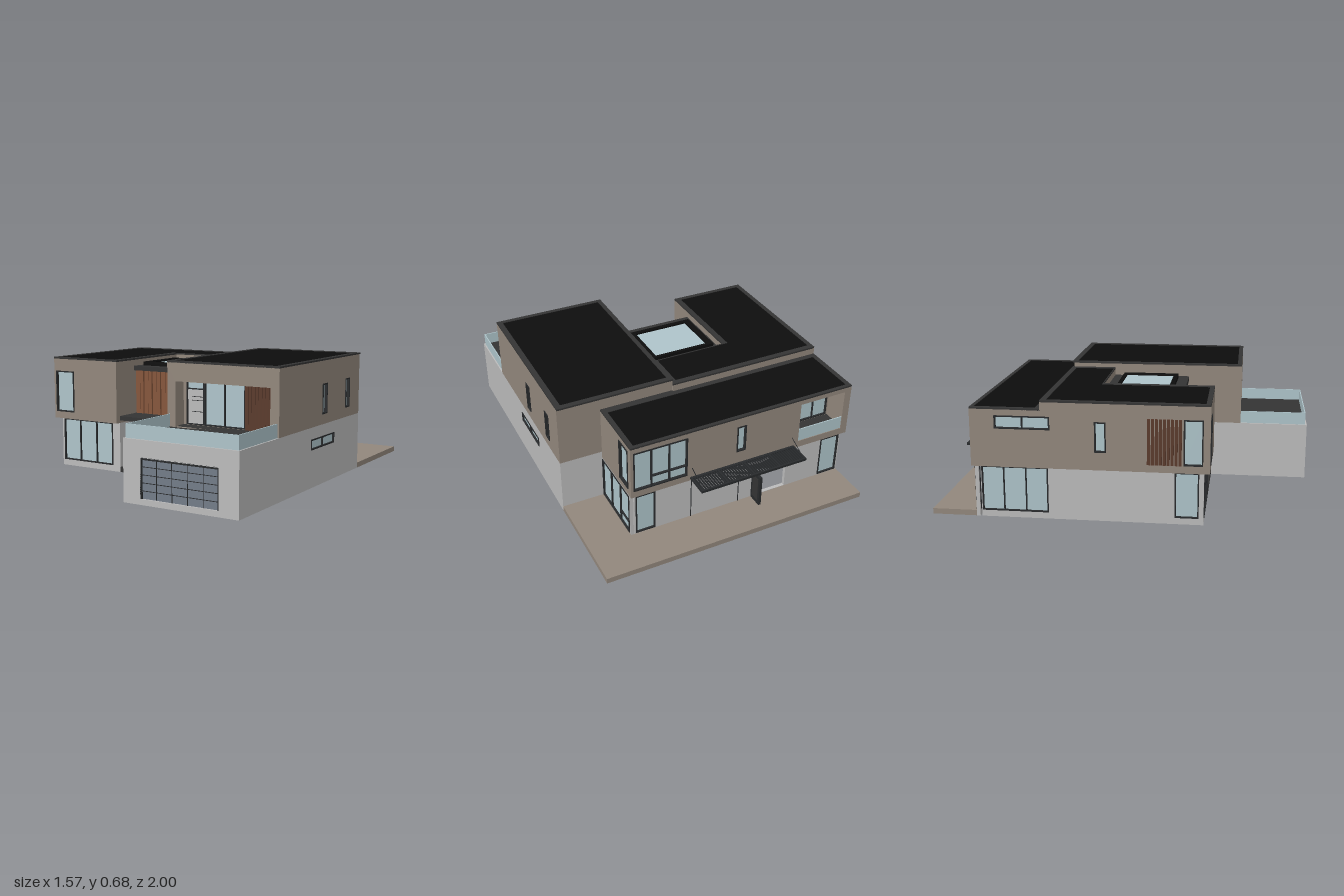
import * as THREE from 'three';

const mat = (name, color, extra) => Object.assign(new THREE.MeshStandardMaterial({ color, ...extra }), { name });

export function createModel() {
  const taupe = mat('taupe render', 0x92877c);
  const grey = mat('light grey wall', 0xbbbbbb);
  const glass = mat('pale glass', 0xaec4ca);
  const frame = mat('window frame', 0x282a2c);
  const trim = mat('dark trim', 0x343434);
  const black = mat('roof felt', 0x0d0d0d);
  const wood = mat('cedar', 0x85563c);
  const darkWood = mat('dark timber', 0x5a3a2c);
  const slate = mat('garage panel', 0x737c88);

  const house = new THREE.Group();
  house.name = 'house';

  const add = (name, geo, m, parent = house) => {
    const mesh = new THREE.Mesh(geo, m);
    mesh.name = name;
    parent.add(mesh);
    return mesh;
  };
  const box = (name, m, x0, x1, y0, y1, z0, z1, parent = house) => {
    const mesh = add(name, new THREE.BoxGeometry(x1 - x0, y1 - y0, z1 - z0), m, parent);
    mesh.position.set((x0 + x1) / 2, (y0 + y1) / 2, (z0 + z1) / 2);
    return mesh;
  };
  const ring = (pts) => pts.map(([a, b]) => new THREE.Vector2(a, b));
  const rect = (a0, a1, b0, b1) => [[a0, b0], [a1, b0], [a1, b1], [a0, b1]];

  // Frame bars, mullions and pane of one window, in wall coordinates
  const windowUnit = (parent, t, { r: [u0, u1, v0, v1], cols = 1, bar, open }) => {
    const d = t / 2 + 0.004, w = 0.007;
    const g = new THREE.Group();
    g.name = open ? 'opening' : 'window';
    parent.add(g);
    if (open) return;
    box('pane', glass, u0, u1, v0, v1, -0.003, 0.003, g);
    box('sill', frame, u0, u1, v0, v0 + w, -d, d, g);
    box('head', frame, u0, u1, v1 - w, v1, -d, d, g);
    box('jamb', frame, u0, u0 + w, v0, v1, -d, d, g);
    box('jamb', frame, u1 - w, u1, v0, v1, -d, d, g);
    for (let i = 1; i < cols; i++) {
      const u = u0 + (u1 - u0) * i / cols;
      box('mullion', frame, u - 0.003, u + 0.003, v0, v1, -d * 0.9, d * 0.9, g);
    }
    if (bar) box('transom', frame, bar[0], bar[1], bar[2] - 0.003, bar[2] + 0.003, -d * 0.9, d * 0.9, g);
  };

  // Wall panel facing along x or z, with holes for its windows
  const wall = (name, m, axis, pos, [u0, u1, v0, v1], t, windows = []) => {
    const g = new THREE.Group();
    g.name = name;
    const shape = new THREE.Shape(ring(rect(u0, u1, v0, v1)));
    windows.forEach((w) => shape.holes.push(new THREE.Path(ring(rect(...w.r)).reverse())));
    const geo = new THREE.ExtrudeGeometry(shape, { depth: t, bevelEnabled: false });
    geo.translate(0, 0, -t / 2);
    add('panel', geo, m, g);
    windows.forEach((w) => windowUnit(g, t, w));
    if (axis === 'x') {
      g.rotation.y = -Math.PI / 2;
      g.position.x = pos;
    } else g.position.z = pos;
    house.add(g);
    return g;
  };

  // Horizontal slab from an x-z outline, hanging down from its top
  const slab = (name, m, top, depth, pts, hole) => {
    const shape = new THREE.Shape(ring(pts));
    if (hole) shape.holes.push(new THREE.Path(ring(hole).reverse()));
    const geo = new THREE.ExtrudeGeometry(shape, { depth, bevelEnabled: false });
    geo.rotateX(Math.PI / 2);
    add(name, geo, m).position.y = top;
  };
  const roof = (name, top, outer, inner) => {
    slab(name + 'Trim', trim, top, 0.01, outer, inner);
    slab(name, black, top - 0.003, 0.015, inner);
  };

  // Terrace wrapping the back corner
  slab('terrace', taupe, 0.03, 0.03,
    [[-0.75, -1], [0.78, -1], [0.78, -0.39], [0.54, -0.39], [0.54, -0.76], [-0.75, -0.76]]);

  // Roofs
  roof('mainRoof', 0.645,
    [[-0.78, -0.4], [0.12, -0.4], [0.12, -0.14], [-0.325, -0.14], [-0.325, 0.47], [-0.78, 0.47]],
    [[-0.755, -0.37], [0.09, -0.37], [0.09, -0.14 - 0.005], [-0.355, -0.145], [-0.355, 0.445], [-0.755, 0.445]]);
  roof('backRoof', 0.6, rect(-0.78, 0.54, -0.77, -0.39), rect(-0.755, 0.515, -0.75, -0.43));
  roof('garageWingRoof', 0.677, rect(0.12, 0.78, -0.4, 0.61), rect(0.145, 0.75, -0.37, 0.585));

  // Entrance hall roof and skylight
  slab('hallRoof', trim, 0.6, 0.02, rect(-0.34, 0.12, -0.14, 0.28), rect(-0.27, 0.07, -0.06, 0.22));
  slab('skylightFrame', black, 0.622, 0.04, rect(-0.3, 0.09, -0.08, 0.24), rect(-0.265, 0.06, -0.06, 0.215));
  slab('skylightPane', glass, 0.612, 0.006, rect(-0.27, 0.07, -0.065, 0.22));

  // Main and back block, upper storey
  const U = 0.03, L = 0.02;
  wall('leftWingFront', taupe, 'z', 0.455, [-0.78, -0.325, 0.285, 0.636], U, [{ r: [-0.765, -0.632, 0.325, 0.565] }]);
  wall('outerSideUpper', taupe, 'x', -0.765, [-0.74, 0.44, 0.285, 0.591], U, [
    { r: [-0.64, -0.35, 0.49, 0.56], cols: 2 },
    { r: [-0.12, -0.06, 0.38, 0.54] },
    { r: [0.335, 0.435, 0.325, 0.565] }]);
  wall('outerSideParapet', taupe, 'x', -0.765, [-0.4, 0.44, 0.591, 0.636], U);
  wall('leftWingInner', taupe, 'x', -0.34, [-0.14, 0.44, 0.285, 0.636], U);
  wall('hallParapet', taupe, 'z', -0.155, [-0.36, 0.12, 0.59, 0.636], U);
  wall('mainBackParapet', taupe, 'z', -0.385, [-0.765, 0.12, 0.58, 0.636], U);
  wall('backUpper', taupe, 'z', -0.755, [-0.78, 0.54, 0.285, 0.591], U, [
    { r: [0.22, 0.525, 0.325, 0.565], cols: 3, bar: [0.22, 0.42, 0.39] },
    { r: [-0.125, -0.07, 0.38, 0.54] },
    { r: [-0.74, -0.46, 0.325, 0.565], open: true }]);
  wall('backInnerSideUpper', taupe, 'x', 0.525, [-0.74, -0.39, 0.285, 0.591], U,
    [{ r: [-0.738, -0.63, 0.325, 0.565] }]);

  // Recessed back balcony
  box('backBalconyFloor', trim, -0.75, -0.45, 0.305, 0.325, -0.74, -0.6);
  box('backBalconyCeiling', taupe, -0.75, -0.45, 0.565, 0.58, -0.74, -0.6);
  box('backBalconySide', taupe, -0.46, -0.445, 0.305, 0.58, -0.74, -0.6);
  box('backBalconyRail', glass, -0.74, -0.46, 0.325, 0.4, -0.766, -0.76);
  wall('backBalconyGlazing', taupe, 'z', -0.61, [-0.75, -0.445, 0.305, 0.58], L,
    [{ r: [-0.74, -0.46, 0.33, 0.56], cols: 3 }]);

  // Timber screen on the outer side
  for (let i = 0; i < 9; i++) {
    const z = 0.15 + i * 0.02;
    box('sideSlat', darkWood, -0.787, -0.779, 0.325, 0.565, z, z + 0.016);
  }

  // Lower storey of the main and back block
  wall('leftWingFrontLower', grey, 'z', 0.43, [-0.75, -0.325, 0, 0.285], L, [{ r: [-0.735, -0.375, 0.035, 0.282], cols: 3 }]);
  wall('outerSideLower', grey, 'x', -0.74, [-0.73, 0.42, 0, 0.285], L, [
    { r: [-0.725, -0.37, 0.035, 0.28], cols: 3 },
    { r: [0.29, 0.415, 0.035, 0.28] }]);
  wall('leftWingInnerLower', grey, 'x', -0.335, [0.25, 0.42, 0, 0.285], L);
  wall('backInnerSideLower', grey, 'x', 0.53, [-0.75, -0.39, 0, 0.285], L,
    [{ r: [-0.745, -0.395, 0.035, 0.28], cols: 3, bar: [-0.745, -0.628, 0.1] }]);
  wall('backLower', grey, 'z', -0.75, [-0.75, 0.52, 0, 0.285], L, [
    { r: [0.4, 0.512, 0.035, 0.28] },
    { r: [-0.4, -0.2, 0.032, 0.25], open: true },
    { r: [-0.74, -0.62, 0.035, 0.28] }]);
  for (const x of [0.19, -0.1]) box('panelSeam', frame, x - 0.002, x + 0.002, 0.03, 0.285, -0.763, -0.757);

  // Open back door
  box('backDoorLeaf', frame, -0.195, -0.18, 0.035, 0.22, -0.85, -0.765);
  box('backDoorPane', trim, -0.197, -0.178, 0.06, 0.2, -0.835, -0.78);

  // Slatted canopy over the terrace, hung on rods
  for (const [z0, z1] of [[-0.9, -0.89], [-0.785, -0.77]]) box('canopyBeam', frame, -0.43, 0.2, 0.293, 0.307, z0, z1);
  for (let i = 0; i <= 44; i++) {
    const x = -0.428 + i * 0.0142, w = i % 11 === 0 ? 0.005 : 0.0025;
    box('canopySlat', frame, x - w, x + w, 0.294, 0.306, -0.9, -0.77);
  }
  for (const x of [-0.42, 0.19]) {
    const rod = add('canopyRod', new THREE.CylinderGeometry(0.002, 0.002, 0.135, 6), frame);
    rod.position.set(x, 0.333, -0.83);
    rod.rotation.x = Math.atan2(0.12, 0.055);
  }

  // Entrance: glazed wall, cedar boards, bands, canopy and step
  box('hallGlazing', glass, -0.325, 0.12, 0.03, 0.58, 0.257, 0.263);
  box('hallFascia', trim, -0.325, 0.12, 0.575, 0.601, 0.25, 0.3);
  box('entranceCanopy', trim, -0.325, 0.12, 0.3, 0.325, 0.25, 0.44);
  box('entranceStep', trim, -0.325, 0.12, 0, 0.03, 0.25, 0.44);
  for (let i = 0; i < 15; i++) {
    const x = -0.322 + i * 0.0295, w = i % 2 ? 0.0215 : 0.0275;
    box('cedarBoardUpper', wood, x, x + w, 0.325, 0.575, 0.268, 0.285);
    box('cedarBoardLower', wood, x, x + w, 0.03, 0.3, 0.268, 0.285);
  }
  box('frontDoor', frame, -0.288, -0.18, 0.03, 0.232, 0.26, 0.292);
  box('frontDoorLeaf', trim, -0.265, -0.19, 0.035, 0.222, 0.29, 0.295);
  box('frontDoorLight', glass, -0.281, -0.273, 0.04, 0.222, 0.29, 0.295);
  box('frontDoorHandle', grey, -0.217, -0.213, 0.07, 0.17, 0.295, 0.302);

  // Garage wing, lower storey
  wall('garageFront', grey, 'z', 0.99, [0.12, 0.78, 0, 0.325], L, [{ r: [0.225, 0.67, 0.03, 0.235], open: true }]);
  wall('garageInner', grey, 'x', 0.13, [0.2, 0.98, 0, 0.325], L);
  wall('garageOuter', grey, 'x', 0.77, [-0.39, 0.98, 0, 0.325], L, [{ r: [-0.045, 0.245, 0.205, 0.262], cols: 2 }]);
  wall('garageBack', grey, 'z', -0.38, [0.12, 0.76, 0, 0.325], L);
  box('garageCeiling', black, 0.14, 0.76, 0.305, 0.315, -0.37, 0.98);
  box('balconyFloor', trim, 0.135, 0.77, 0.315, 0.328, 0.48, 0.985);

  // Panelled garage door
  box('garageDoor', slate, 0.225, 0.67, 0.03, 0.235, 0.984, 0.99);
  box('garageDoorHead', frame, 0.222, 0.673, 0.226, 0.238, 0.978, 1);
  for (const x of [0.222, 0.665]) box('garageDoorJamb', frame, x, x + 0.008, 0.03, 0.235, 0.978, 1);
  for (let i = 1; i < 5; i++) {
    const x = 0.225 + i * 0.089, y = 0.03 + i * 0.04;
    box('garageDoorStile', frame, x - 0.0015, x + 0.0015, 0.03, 0.23, 0.982, 0.993);
    box('garageDoorRail', frame, 0.225, 0.67, y - 0.0015, y + 0.0015, 0.982, 0.993);
  }

  // Garage wing, upper storey
  wall('wingFront', taupe, 'z', 0.597, [0.12, 0.78, 0.325, 0.668], 0.026, [{ r: [0.17, 0.73, 0.328, 0.57], open: true }]);
  wall('wingInner', taupe, 'x', 0.135, [-0.39, 0.585, 0.325, 0.668], U);
  wall('wingOuter', taupe, 'x', 0.765, [-0.39, 0.585, 0.325, 0.668], U, [
    { r: [0.052, 0.11, 0.38, 0.545] },
    { r: [-0.25, -0.193, 0.38, 0.545] }]);
  wall('wingBack', taupe, 'z', -0.375, [0.12, 0.78, 0.325, 0.668], U);

  // Balcony recess with doors and timber screen
  box('recessCeiling', taupe, 0.15, 0.75, 0.57, 0.585, 0.49, 0.59);
  wall('recessWall', taupe, 'z', 0.49, [0.15, 0.75, 0.325, 0.6], L, [
    { r: [0.17, 0.28, 0.33, 0.568], bar: [0.17, 0.28, 0.522] },
    { r: [0.28 + 0.001, 0.53, 0.33, 0.568], cols: 2 }]);
  box('balconyDoor', grey, 0.18, 0.272, 0.335, 0.517, 0.494, 0.502);
  for (const y of [0.4, 0.46, 0.48]) box('balconyDoorBar', frame, 0.205, 0.272, y, y + 0.003, 0.5, 0.504);
  for (let i = 0; i < 10; i++) {
    const x = 0.531 + i * 0.02;
    box('recessSlat', darkWood, x, x + 0.0185, 0.328, 0.57, 0.498, 0.51);
  }

  // Balcony glass rail
  box('balconyRailFront', glass, 0.13, 0.772, 0.325, 0.396, 0.984, 0.99);
  for (const x of [0.13, 0.766]) box('balconyRailSide', glass, x, x + 0.006, 0.325, 0.396, 0.61, 0.99);

  return house;
}
